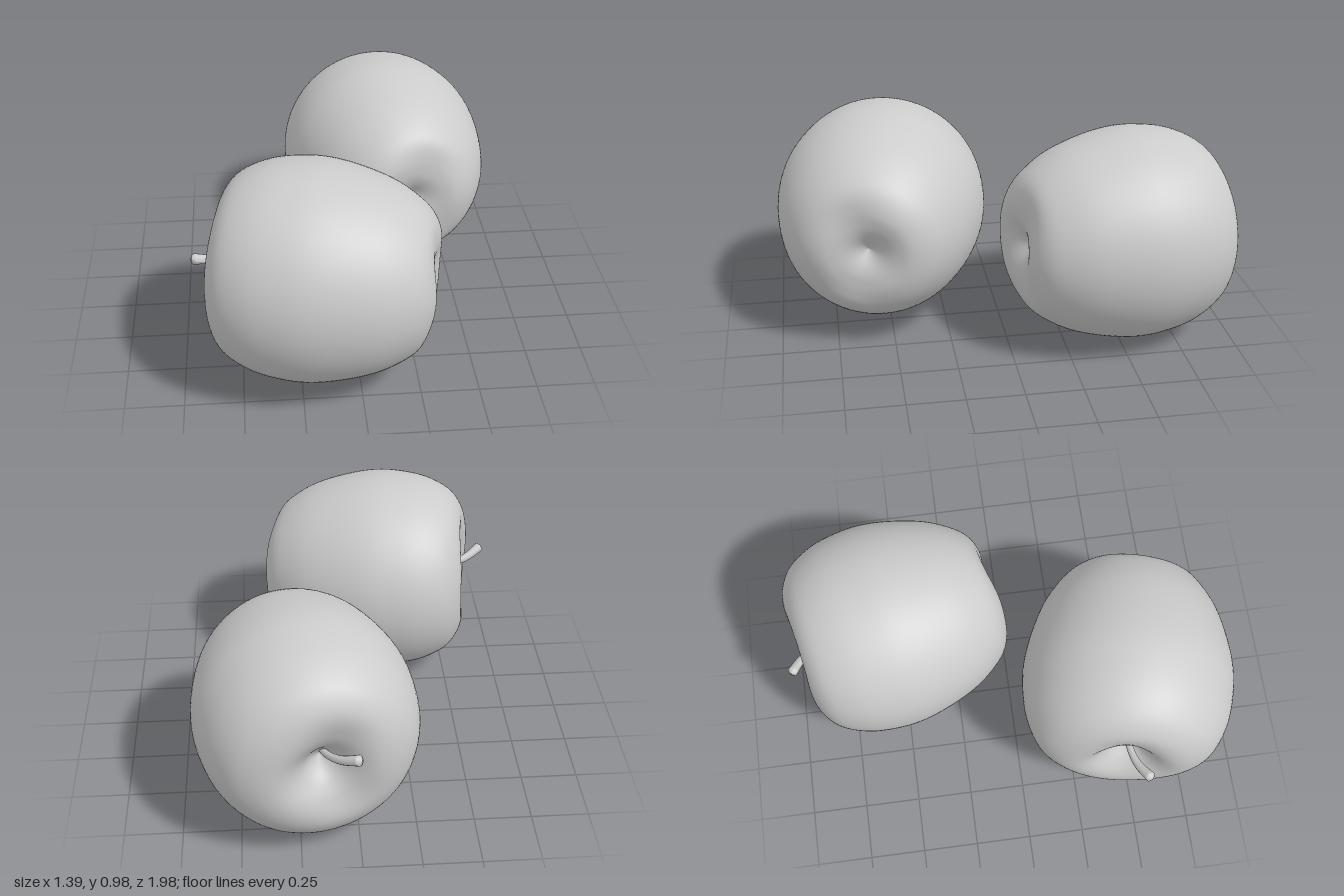
import * as THREE from 'three';
import { mergeVertices } from 'three/addons/utils/BufferGeometryUtils.js';

const V = (x, y, z) => new THREE.Vector3(x, y, z);

// Half outline of the fruit: calyx dimple, belly, shoulder, stem cavity
const OUTLINE = [
  [0, -0.395], [0.03, -0.413], [0.08, -0.444], [0.135, -0.467], [0.195, -0.474], [0.262, -0.448],
  [0.325, -0.39], [0.396, -0.275], [0.443, -0.14], [0.471, 0], [0.472, 0.12], [0.447, 0.26],
  [0.388, 0.378], [0.31, 0.44], [0.232, 0.463], [0.165, 0.45], [0.1, 0.405], [0.05, 0.355], [0, 0.32],
];

// Turned fruit body whose two rims dip along the given directions
function fruitGeometry(stemGrooves, calyxGrooves) {
  const curve = new THREE.SplineCurve(OUTLINE.map(([x, y]) => new THREE.Vector2(x, y)));
  const points = curve.getPoints(90);
  points.forEach((p) => { p.x = Math.max(0, p.x); });
  points[0].x = points[points.length - 1].x = 0;
  let geometry = new THREE.LatheGeometry(points, 96);
  const pos = geometry.attributes.position;
  const p = V(0, 0, 0);
  for (let i = 0; i < pos.count; i++) {
    p.fromBufferAttribute(pos, i);
    const r = Math.hypot(p.x, p.z);
    if (r < 1e-4 || Math.abs(p.y) < 0.27) continue;
    const bell = Math.exp(-(((r - 0.19) / 0.085) ** 2));
    for (const g of p.y > 0 ? stemGrooves : calyxGrooves) {
      const facing = Math.max(0, (p.x * g.x + p.z * g.z) / (r * Math.hypot(g.x, g.z)));
      p.y -= Math.sign(p.y) * 0.025 * bell * facing ** 4;
    }
    pos.setXYZ(i, p.x, p.y, p.z);
  }
  geometry.deleteAttribute('uv');
  geometry.deleteAttribute('normal');
  geometry = mergeVertices(geometry, 1e-5);
  geometry.computeVertexNormals();
  return geometry;
}

// Curved stem: a tube that widens to a closed tip
function stemGeometry(path) {
  const rings = 24, sides = 14;
  const curve = new THREE.CatmullRomCurve3(path);
  const geometry = new THREE.TubeGeometry(curve, rings, 1, sides);
  const pos = geometry.attributes.position;
  const p = V(0, 0, 0);
  for (let i = 0; i < pos.count; i++) {
    const t = Math.floor(i / (sides + 1)) / rings;
    const c = curve.getPointAt(t);
    const radius = t === 1 ? 0 : 0.014 + 0.01 * t * t;
    p.fromBufferAttribute(pos, i).sub(c).multiplyScalar(radius).add(c);
    pos.setXYZ(i, p.x, p.y, p.z);
  }
  geometry.computeVertexNormals();
  return geometry;
}

function makeApple({ name, centre, axis, stemGrooves, calyxGrooves, stemPath }, material) {
  const group = new THREE.Group();
  group.name = name;
  group.position.copy(centre);
  const turn = new THREE.Quaternion().setFromUnitVectors(V(0, 1, 0), axis.clone().normalize());
  const back = turn.clone().invert();
  const local = (list) => list.map((v) => v.clone().applyQuaternion(back));

  const body = new THREE.Mesh(fruitGeometry(local(stemGrooves), local(calyxGrooves)), material);
  body.name = 'fruitBody';
  body.quaternion.copy(turn);

  const stem = new THREE.Mesh(stemGeometry(stemPath), material);
  stem.name = 'stem';
  group.add(body, stem);
  return group;
}

export function createModel() {
  const model = new THREE.Group();
  model.name = 'twoApples';
  const material = new THREE.MeshStandardMaterial({ color: 0xcccccc, side: THREE.DoubleSide });

  // Front apple lies with its stem to the right, rear apple with its stem to the back
  const apples = [
    {
      name: 'frontApple',
      centre: V(-0.14, 0.498, 0.525),
      axis: V(-0.97, 0.04, -0.19),
      stemGrooves: [V(0, -0.8, 0.6), V(0, 1, 0)],
      calyxGrooves: [V(0, 1, 0.4), V(0, -1, 0.4)],
      stemPath: [V(-0.27, 0.02, -0.06), V(-0.36, 0.03, -0.06), V(-0.46, 0.05, -0.04), V(-0.55, 0.09, 0.01)],
    },
    {
      name: 'rearApple',
      centre: V(0.229, 0.474, -0.495),
      axis: V(-0.19, -0.01, -0.97),
      stemGrooves: [V(-0.5, -1, 0), V(-0.3, 1, 0)],
      calyxGrooves: [V(0.4, 1, 0), V(0.4, -1, 0)],
      stemPath: [V(-0.06, 0.01, -0.27), V(-0.085, 0.025, -0.35), V(-0.14, 0.055, -0.43), V(-0.225, 0.095, -0.485)],
    },
  ];
  apples.forEach((spec) => model.add(makeApple(spec, material)));
  return model;
}
